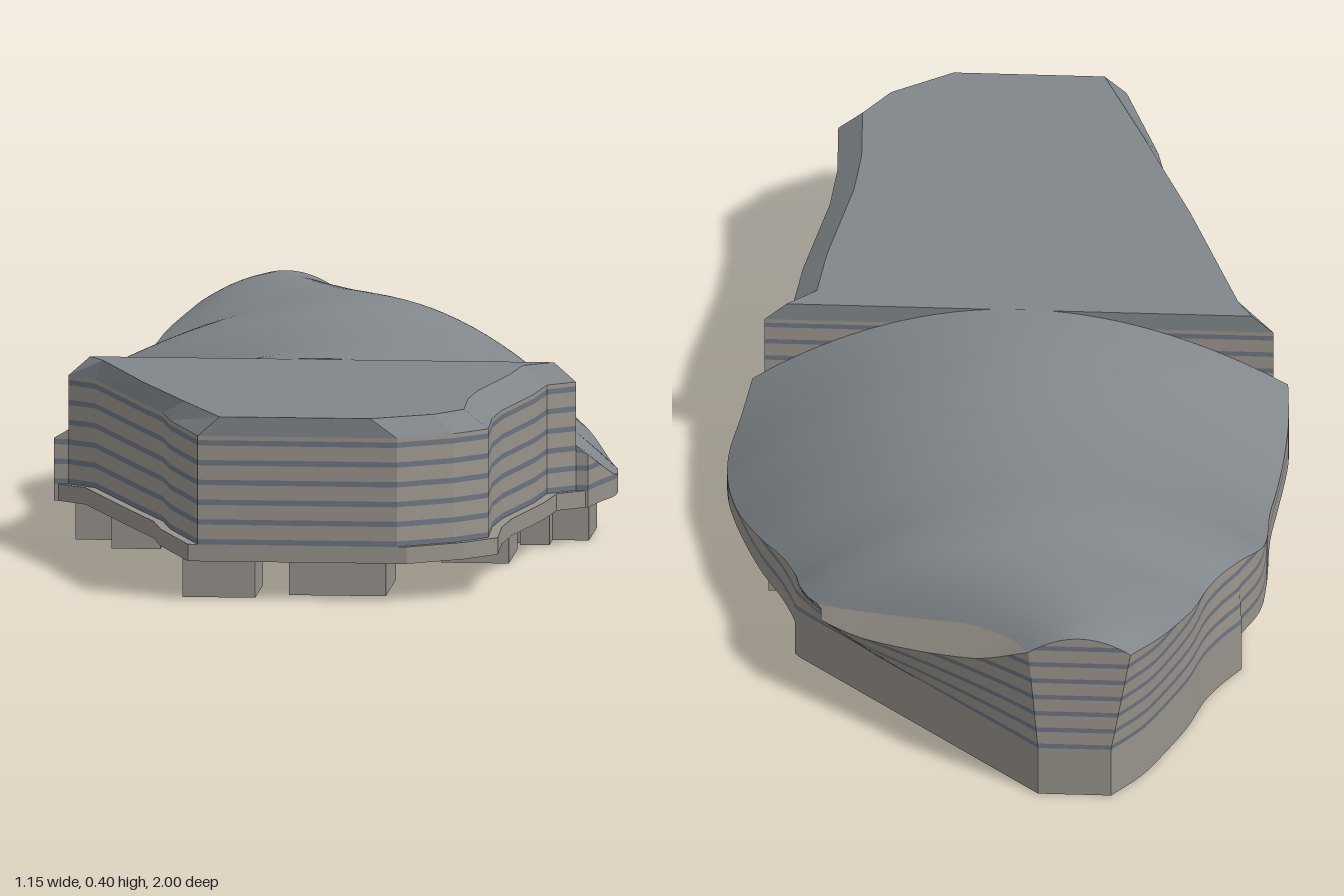
import * as THREE from 'three';

const flat = { flatShading: true, side: THREE.DoubleSide };
const baseMat = new THREE.MeshStandardMaterial({ color: 0x97928b });
const wallMat = new THREE.MeshStandardMaterial({ color: 0x9a948b, ...flat });
const glassMat = new THREE.MeshStandardMaterial({ color: 0x6c7582, ...flat });
const eavesMat = new THREE.MeshStandardMaterial({ color: 0x80868a, ...flat });
const roofMat = new THREE.MeshStandardMaterial({ color: 0x80868a, side: THREE.DoubleSide });

const V = (x, y, z) => new THREE.Vector3(x, y, z);

function addMesh(group, name, geometry, material) {
  const mesh = new THREE.Mesh(geometry, material);
  mesh.name = name;
  group.add(mesh);
  return mesh;
}

function fromTriangles(points) {
  const geometry = new THREE.BufferGeometry().setFromPoints(points);
  geometry.computeVertexNormals();
  return geometry;
}

// Strip of quads between two rows of points
function strip(low, high) {
  const points = [];
  for (let i = 0; i < low.length - 1; i++) {
    points.push(low[i], low[i + 1], high[i + 1], low[i], high[i + 1], high[i]);
  }
  return fromTriangles(points);
}

// Flat plate with a plan outline of [x, z] pairs, from y0 up to y1
function plate(outline, y0, y1) {
  const shape = new THREE.Shape(outline.map(([x, z]) => new THREE.Vector2(x, z)));
  const geometry = new THREE.ExtrudeGeometry(shape, { depth: y1 - y0, bevelEnabled: false });
  return geometry.rotateX(Math.PI / 2).translate(0, y1, 0);
}

// Wall around a closed loop of bottom and top points, cut into floor bands and window strips
function bandedWall(group, name, bottom, top) {
  const levels = [];
  for (let y = 0.115; y < 0.4; y += 0.041) levels.push(y, y + 0.011);
  levels.push(0.45);
  const at = (i, y) => {
    const b = bottom[i], t = top[i];
    const k = THREE.MathUtils.clamp((y - b.y) / Math.max(t.y - b.y, 1e-6), 0, 1);
    return b.clone().lerp(t, k);
  };
  const sets = [[], []];
  for (let k = 0; k < levels.length - 1; k++) {
    for (let i = 0; i < bottom.length; i++) {
      const j = (i + 1) % bottom.length;
      const a = at(i, levels[k]), b = at(j, levels[k]);
      const c = at(j, levels[k + 1]), d = at(i, levels[k + 1]);
      if (a.distanceTo(d) + b.distanceTo(c) < 1e-5) continue;
      sets[k % 2].push(a, c, b, a, d, c);
    }
  }
  addMesh(group, name + 'Windows', fromTriangles(sets[0]), glassMat);
  addMesh(group, name + 'Floors', fromTriangles(sets[1]), wallMat);
}

// Stations of the rear roof: z, left x, right x, left edge y, right edge y, ridge y
const stations = [
  [0.17, -0.57, 0.53, 0.21, 0.19, 0.382],
  [0.08, -0.575, 0.55, 0.18, 0.155, 0.381],
  [0, -0.57, 0.57, 0.15, 0.125, 0.379],
  [-0.1, -0.56, 0.568, 0.14, 0.12, 0.378],
  [-0.2, -0.55, 0.545, 0.15, 0.122, 0.378],
  [-0.35, -0.55, 0.49, 0.19, 0.16, 0.382],
  [-0.45, -0.54, 0.44, 0.235, 0.185, 0.387],
  [-0.53, -0.505, 0.41, 0.265, 0.2, 0.393],
  [-0.6, -0.465, 0.395, 0.275, 0.215, 0.396],
  [-0.66, -0.44, 0.36, 0.28, 0.222, 0.398],
  [-0.75, -0.42, 0.2, 0.3, 0.26, 0.398],
  [-0.85, -0.385, 0.04, 0.325, 0.315, 0.398],
  [-0.93, -0.35, -0.05, 0.345, 0.34, 0.396],
  [-1, -0.3, -0.09, 0.355, 0.355, 0.392],
];

// Front wing outline: wall x, roof x, z, running from the right rear corner round the front
const wing = [
  [-0.54, -0.495, 0.17], [-0.48, -0.465, 0.22], [-0.36, -0.352, 0.53], [-0.3, -0.29, 0.68],
  [-0.275, -0.245, 0.79], [-0.2, -0.155, 1], [0.21, 0.155, 1], [0.32, 0.28, 0.925],
  [0.385, 0.335, 0.85], [0.38, 0.33, 0.7], [0.39, 0.34, 0.58], [0.435, 0.385, 0.35],
  [0.45, 0.4, 0.22], [0.505, 0.46, 0.17],
];

// Supports under the slab: x, z, width, depth
const supports = [
  [0.08, 0.8, 0.2, 0.23], [-0.16, 0.87, 0.15, 0.18], [0.32, 0.33, 0.14, 0.2],
  [0.335, -0.2, 0.28, 0.22], [0.45, 0, 0.15, 0.18], [0.42, 0.13, 0.06, 0.07],
  [-0.03, -0.24, 0.12, 0.22], [-0.35, -0.12, 0.2, 0.18], [-0.455, 0.05, 0.14, 0.24],
  [-0.39, 0.23, 0.1, 0.12], [-0.45, -0.465, 0.1, 0.13],
];
const posts = [[0.09, 0.35], [-0.03, 0.31], [0.25, -0.48], [0.04, -0.5], [0.38, 0.13], [-0.235, 0.205], [0.3, -0.35]];

export function createModel() {
  const model = new THREE.Group();
  model.name = 'building';

  // Rear roof: arched rows between two wavy edges
  const rows = 78, cols = 32;
  const curve = (f) => new THREE.CatmullRomCurve3(stations.map(f));
  const leftEdge = curve((s) => V(s[1], s[3], s[0]));
  const rightEdge = curve((s) => V(s[2], s[4], s[0]));
  const ridge = curve((s) => V(0, s[5], s[0]));
  const grid = [];
  for (let i = 0; i <= rows; i++) {
    const a = leftEdge.getPoint(i / rows), b = rightEdge.getPoint(i / rows);
    const crown = ridge.getPoint(i / rows).y;
    b.z = a.z;
    const row = [];
    for (let j = 0; j <= cols; j++) {
      const t = j / cols;
      const p = a.clone().lerp(b, t);
      p.y += (crown - p.y) * (1 - Math.pow(Math.abs(2 * t - 1), 2));
      row.push(p);
    }
    grid.push(row);
  }
  const roof = new THREE.BufferGeometry().setFromPoints(grid.flat());
  const index = [];
  for (let i = 0; i < rows; i++) {
    for (let j = 0; j < cols; j++) {
      const a = i * (cols + 1) + j, c = a + cols + 1;
      index.push(a, a + 1, c, a + 1, c + 1, c);
    }
  }
  roof.setIndex(index);
  roof.computeVertexNormals();
  addMesh(model, 'wavyRoof', roof, roofMat);

  // Plan of the tail: straight wall head on one side, foot drawn in towards the tip on both
  const headX = (p) => (p.z < -0.6 ? Math.max(p.x, Math.min(0.35, -0.09 + (p.z + 1) * 1.42)) : p.x);
  const rightFootX = (p) => (p.z < -0.53 ? -0.11 + (p.z + 1) * 1.115 : p.x);
  const leftFootX = (p) => (p.z < -0.53 ? p.x - 0.01 + 0.05 * (-0.53 - p.z) / 0.47 : p.x);

  // Rear walls; where the roof edge curves in, a sloping ledge drops to the straight wall head
  const leftSide = grid.map((r) => r[0]);
  const rightSide = grid.map((r) => r[cols]).reverse();
  const rightHead = rightSide.map((p) => V(headX(p), p.y - 0.9 * (headX(p) - p.x), p.z));
  const leftFoot = leftSide.map((p) => V(leftFootX(p), 0.115, p.z));
  const rightFoot = rightSide.map((p) => V(rightFootX(p), 0.115, p.z));
  const tip = grid[rows].slice(1, cols);
  const front = grid[0].slice(1, cols).reverse();
  const tipFoot = tip.map((p, i) => leftFoot[rows].clone().lerp(rightFoot[0], (i + 1) / cols));
  const frontFoot = front.map((p) => V(p.x, 0.115, p.z));
  bandedWall(model, 'rearWall',
    [...leftFoot, ...tipFoot, ...rightFoot, ...frontFoot],
    [...leftSide, ...tip, ...rightHead, ...front]);
  const inTail = (p) => p.z < -0.6;
  addMesh(model, 'wallLedge', strip(rightHead.filter(inTail), rightSide.filter(inTail)), wallMat);

  // Floor slab under everything, and the deeper base under the tail
  const rearFoot = [...leftFoot, ...rightFoot].map((p) => [p.x, p.z]);
  const wingFoot = wing.map(([x, , z]) => [x + Math.sign(x) * 0.02, z]).reverse();
  addMesh(model, 'floorSlab', plate([...rearFoot, ...wingFoot], 0.08, 0.115), baseMat);
  addMesh(model, 'tailBase', plate(rearFoot.filter(([, z]) => z <= -0.53), 0, 0.08), baseMat);

  // Front wing: banded walls, sloped eaves, flat roof
  const eaves = wing.map(([x, , z]) => V(x, 0.34, z));
  const rim = wing.map(([, x, z]) => V(x, 0.38, z));
  bandedWall(model, 'wingWall', eaves.map((p) => V(p.x, 0.115, p.z)), eaves);
  addMesh(model, 'wingEaves', strip([...eaves, eaves[0]], [...rim, rim[0]]), eavesMat);
  addMesh(model, 'wingRoof', plate(rim.map((p) => [p.x, p.z]), 0.375, 0.38), roofMat);

  // Ground-level blocks and posts
  const blocks = new THREE.Group();
  blocks.name = 'groundSupports';
  for (const [x, z, w, d] of [...supports, ...posts.map(([px, pz]) => [px, pz, 0.018, 0.018])]) {
    addMesh(blocks, w < 0.05 ? 'post' : 'supportBlock', new THREE.BoxGeometry(w, 0.08, d), baseMat).position.set(x, 0.04, z);
  }
  model.add(blocks);
  return model;
}
